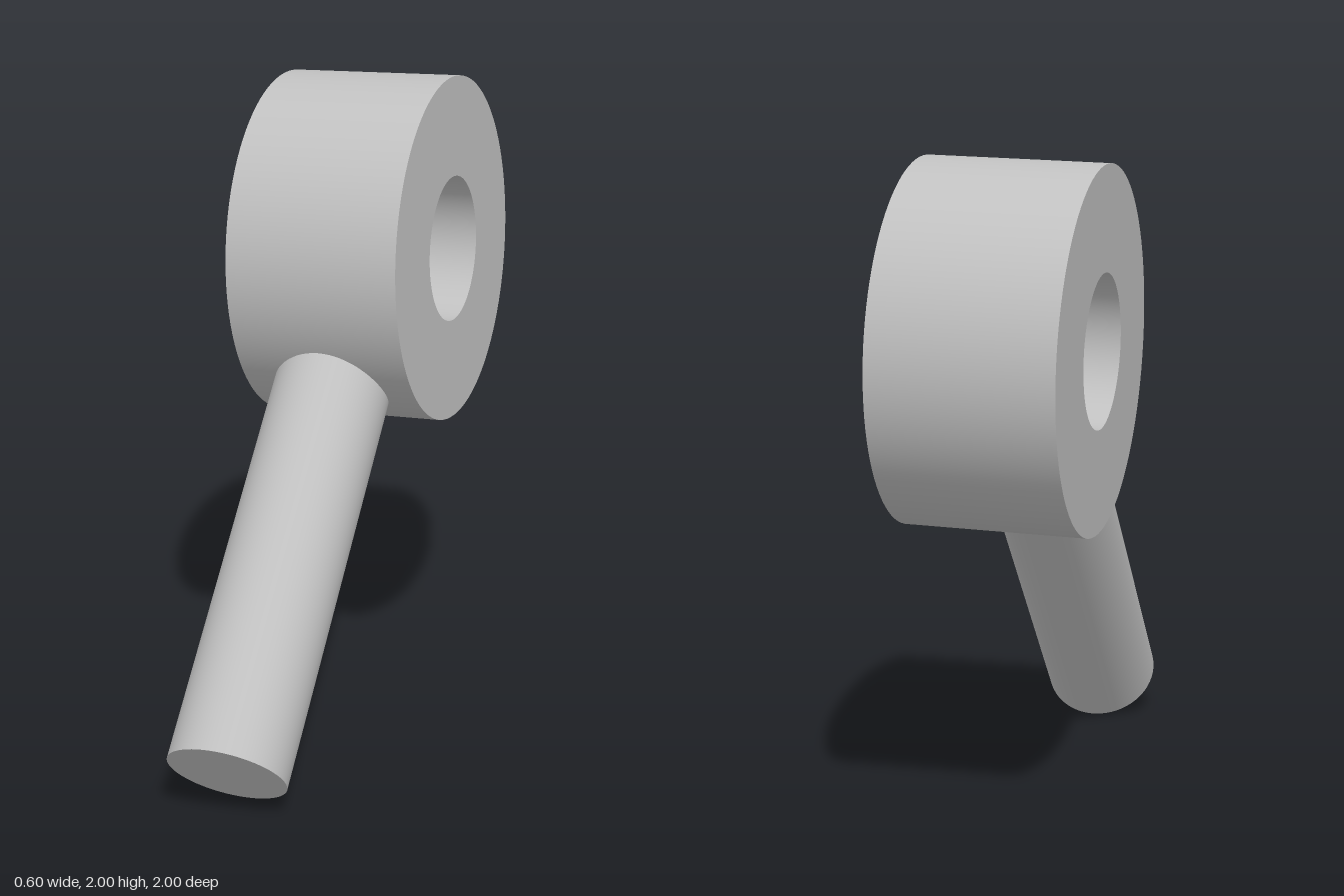
import * as THREE from 'three';

export function createModel() {
  const group = new THREE.Group();
  const grey = new THREE.MeshStandardMaterial({ color: 0xc0c0c0 });
  grey.name = 'light grey';

  const up = new THREE.Vector3(0, 1, 0);
  const center = new THREE.Vector3(0, 1.44, -0.44);
  const outer = 0.552, inner = 0.233, half = 0.279;

  // Thick ring: a rectangular profile, corners doubled to keep the edges sharp
  const corners = [[inner, -half], [outer, -half], [outer, half], [inner, half]];
  const profile = [];
  corners.forEach((a, i) => {
    const b = corners[(i + 1) % 4];
    profile.push(new THREE.Vector2(...a), new THREE.Vector2(...b));
  });
  const ring = new THREE.Mesh(new THREE.LatheGeometry(profile, 96), grey);
  ring.name = 'ring';
  ring.position.copy(center);
  ring.quaternion.setFromUnitVectors(up, new THREE.Vector3(1, 0.03, -0.03).normalize());
  group.add(ring);

  // Round shank: starts inside the ring wall and runs down and forward
  const end = new THREE.Vector3(0.075, 0.13, 0.87);
  const dir = end.clone().sub(center).normalize();
  const start = center.clone().addScaledVector(dir, 0.4);
  const shank = new THREE.Mesh(
    new THREE.CylinderGeometry(0.184, 0.184, start.distanceTo(end), 64), grey);
  shank.name = 'shank';
  shank.position.copy(start).add(end).multiplyScalar(0.5);
  shank.quaternion.setFromUnitVectors(up, dir);
  group.add(shank);

  return group;
}
